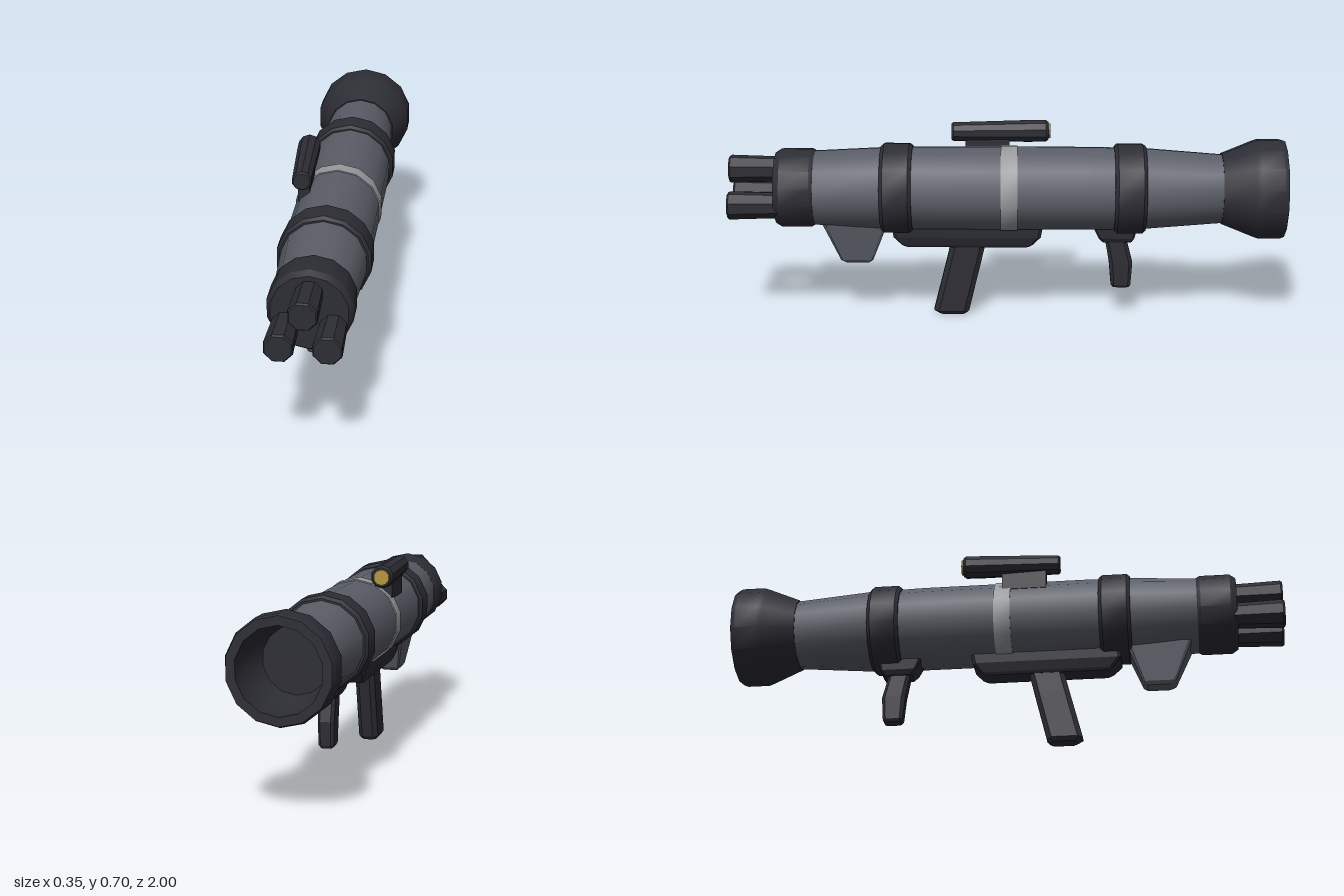
import * as THREE from 'three';
import { toCreasedNormals } from 'three/addons/utils/BufferGeometryUtils.js';

const AXIS_Y = 0.478;

const material = (name, color) => {
  const m = new THREE.MeshStandardMaterial({ color });
  m.name = name;
  return m;
};

// Solid turned about the z axis from [radius, z] points, z rising along the outside.
function turned(points, sides, crease = 0.55) {
  const geo = new THREE.LatheGeometry(points.map(([r, z]) => new THREE.Vector2(r, z)), sides);
  geo.rotateX(Math.PI / 2);
  return toCreasedNormals(geo, crease);
}

// Chamfered block lofted upward through sections [y, zBack, zFront, halfWidth].
function lofted(sections, chamferX, chamferZ) {
  const pos = [], index = [], n = 8;
  for (const [y, z0, z1, w] of sections) {
    const a = w * (1 - chamferX), c = (z1 - z0) * chamferZ;
    const ring = [[-a, z1], [a, z1], [w, z1 - c], [w, z0 + c], [a, z0], [-a, z0], [-w, z0 + c], [-w, z1 - c]];
    for (const [x, z] of ring) pos.push(x, y, z);
  }
  const top = (sections.length - 1) * n;
  for (let i = 0; i < top; i += n) {
    for (let k = 0; k < n; k++) {
      const a = i + k, b = i + (k + 1) % n;
      index.push(a, b, b + n, a, b + n, a + n);
    }
  }
  for (let k = 1; k < n - 1; k++) {
    index.push(0, k + 1, k, top, top + k, top + k + 1);
  }
  const geo = new THREE.BufferGeometry();
  geo.setAttribute('position', new THREE.Float32BufferAttribute(pos, 3));
  geo.setIndex(index);
  const flat = geo.toNonIndexed();
  flat.computeVertexNormals();
  return flat;
}

export function createModel() {
  const group = new THREE.Group();
  group.name = 'launcher';
  const steel = material('steelGrey', 0x5b5e68);
  const dark = material('darkGrey', 0x2d2d35);
  const pale = material('paleGrey', 0x989a9e);
  const brass = material('brass', 0xb5953a);

  const add = (name, geo, mat, x = 0, y = 0, z = 0) => {
    const mesh = new THREE.Mesh(geo, mat);
    mesh.name = name;
    mesh.position.set(x, y, z);
    group.add(mesh);
    return mesh;
  };

  // Main tube and its painted stripe
  add('tube', turned([[0.125, -0.79], [0.148, -0.5], [0.152, -0.3], [0.152, 0.3], [0.149, 0.45], [0.136, 0.7]], 14), steel, 0, AXIS_Y);
  add('stripe', turned([[0.151, -0.04], [0.156, -0.04], [0.156, 0.02], [0.151, 0.02]], 14), pale, 0, AXIS_Y);

  // Clamp bands
  for (const z of [-0.445, 0.395]) {
    add('band', turned([
      [0.14, -0.057], [0.155, -0.057], [0.165, -0.045],
      [0.165, 0.045], [0.155, 0.057], [0.14, 0.057],
    ], 14), dark, 0, AXIS_Y, z);
  }

  // Muzzle collar with closed face
  add('muzzleCollar', turned([
    [0.125, 0.69], [0.137, 0.69], [0.144, 0.703], [0.144, 0.81],
    [0.13, 0.832], [0, 0.832],
  ], 14), dark, 0, AXIS_Y);

  // Flared exhaust, hollow from behind
  add('exhaustBell', turned([
    [0, -0.8], [0.115, -0.8], [0.145, -0.9], [0.145, -1], [0.176, -1],
    [0.182, -0.985], [0.182, -0.905], [0.175, -0.885], [0.13, -0.775], [0.115, -0.775],
  ], 14), dark, 0, AXIS_Y);

  // Three barrels
  for (const [x, y] of [[0, 0.547], [-0.078, 0.432], [0.078, 0.432]]) {
    const geo = turned([[0.045, 0.8], [0.051, 0.993], [0.046, 1], [0, 1]], 8, 0.3);
    add('barrel', geo.rotateZ(Math.PI / 8), dark, x, y);
  }

  // Sight, turned slightly outward toward the rear
  const sight = new THREE.Group();
  sight.name = 'sight';
  sight.position.set(-0.115, 0.66, 0.025);
  sight.rotation.y = 0.045;
  const body = new THREE.Mesh(turned([
    [0, -0.177], [0.034, -0.177], [0.041, -0.167], [0.041, -0.1],
    [0.035, 0.17], [0.03, 0.177], [0, 0.177],
  ], 10), dark);
  body.name = 'sightBody';
  const lens = new THREE.Mesh(turned([[0, -0.184], [0.028, -0.184], [0.028, -0.176]], 10), brass);
  lens.name = 'sightLens';
  sight.add(body, lens);
  group.add(sight);
  add('sightMount', new THREE.BoxGeometry(0.04, 0.09, 0.16), dark, -0.107, 0.607, 0.07);

  // Underside housing and pistol grip
  add('housing', lofted([
    [0.263, -0.08, 0.365, 0.037],
    [0.272, -0.095, 0.38, 0.043],
    [0.305, -0.125, 0.41, 0.055],
    [0.36, -0.135, 0.41, 0.06],
  ], 0.15, 0.02), dark);
  add('pistolGrip', lofted([
    [0, 0.15, 0.245, 0.026],
    [0.014, 0.137, 0.266, 0.036],
    [0.19, 0.095, 0.222, 0.036],
    [0.29, 0.072, 0.198, 0.036],
  ], 0.45, 0.14), dark);

  // Rear grip with its mount
  add('rearGripMount', lofted([
    [0.282, -0.455, -0.35, 0.034],
    [0.3, -0.465, -0.335, 0.045],
    [0.35, -0.475, -0.31, 0.05],
  ], 0.15, 0.05), dark);
  add('rearGrip', lofted([
    [0.105, -0.45, -0.39, 0.02],
    [0.115, -0.455, -0.383, 0.027],
    [0.2, -0.46, -0.375, 0.029],
    [0.295, -0.435, -0.358, 0.029],
  ], 0.35, 0.15), dark);

  // Forward hand stop
  add('handStop', lofted([
    [0.2, 0.5, 0.585, 0.028],
    [0.212, 0.486, 0.603, 0.037],
    [0.355, 0.43, 0.665, 0.064],
  ], 0.12, 0.05), steel);

  return group;
}
